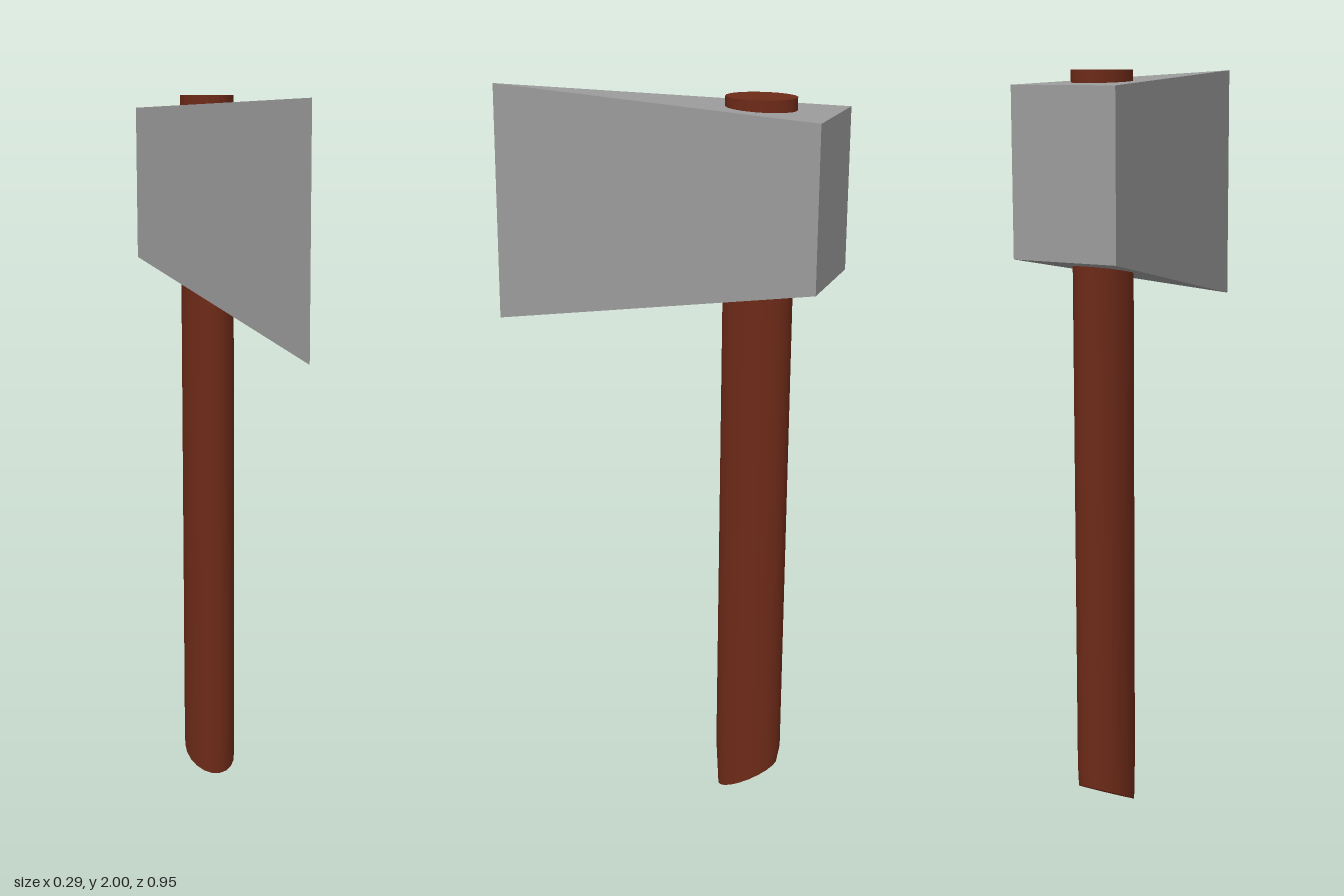
import * as THREE from 'three';

// Wedge head: a triangle extruded upward, its top and bottom sloped along z
function makeHead() {
  const half = 0.474;
  const plan = new THREE.Shape([
    new THREE.Vector2(-0.147, half),
    new THREE.Vector2(0, -half),
    new THREE.Vector2(0.147, half),
  ]);
  const geo = new THREE.ExtrudeGeometry(plan, { depth: 1, bevelEnabled: false });
  geo.rotateX(-Math.PI / 2);
  const pos = geo.attributes.position;
  for (let i = 0; i < pos.count; i++) {
    const t = (pos.getZ(i) + half) / (2 * half); // 0 at the poll, 1 at the blade edge
    const bottom = THREE.MathUtils.lerp(1.534, 1.347, t);
    const top = THREE.MathUtils.lerp(1.964, 1.996, t);
    pos.setY(i, THREE.MathUtils.lerp(bottom, top, pos.getY(i)));
  }
  geo.computeVertexNormals();
  const head = new THREE.Mesh(geo, new THREE.MeshStandardMaterial({ color: 0x9c9c9c, flatShading: true }));
  head.name = 'axeHead';
  return head;
}

// Oval handle with an obliquely cut foot, slightly tapered from front to back
function makeHandle() {
  const centreZ = -0.277, slope = 0.545, taper = 0.91;
  const geo = new THREE.CylinderGeometry(1, 1, 2, 20, 2);
  geo.scale(0.073, 1, 0.094);
  const pos = geo.attributes.position, normal = geo.attributes.normal;
  const cut = new THREE.Vector3(0, -1, -slope).normalize();
  for (let i = 0; i < pos.count; i++) {
    const y = pos.getY(i);
    if (y > 0.5) pos.setY(i, 2);
    else if (y > -0.5) pos.setY(i, 0.14);
    else {
      const z = pos.getZ(i) * taper;
      pos.setY(i, slope * (0.094 * taper - z));
      pos.setZ(i, z);
      if (normal.getY(i) < -0.5) normal.setXYZ(i, cut.x, cut.y, cut.z);
    }
  }
  geo.translate(0, 0, centreZ);
  const handle = new THREE.Mesh(geo, new THREE.MeshStandardMaterial({ color: 0x6d2a18 }));
  handle.name = 'handle';
  return handle;
}

export function createModel() {
  const axe = new THREE.Group();
  axe.name = 'axe';
  axe.add(makeHead(), makeHandle());
  return axe;
}
